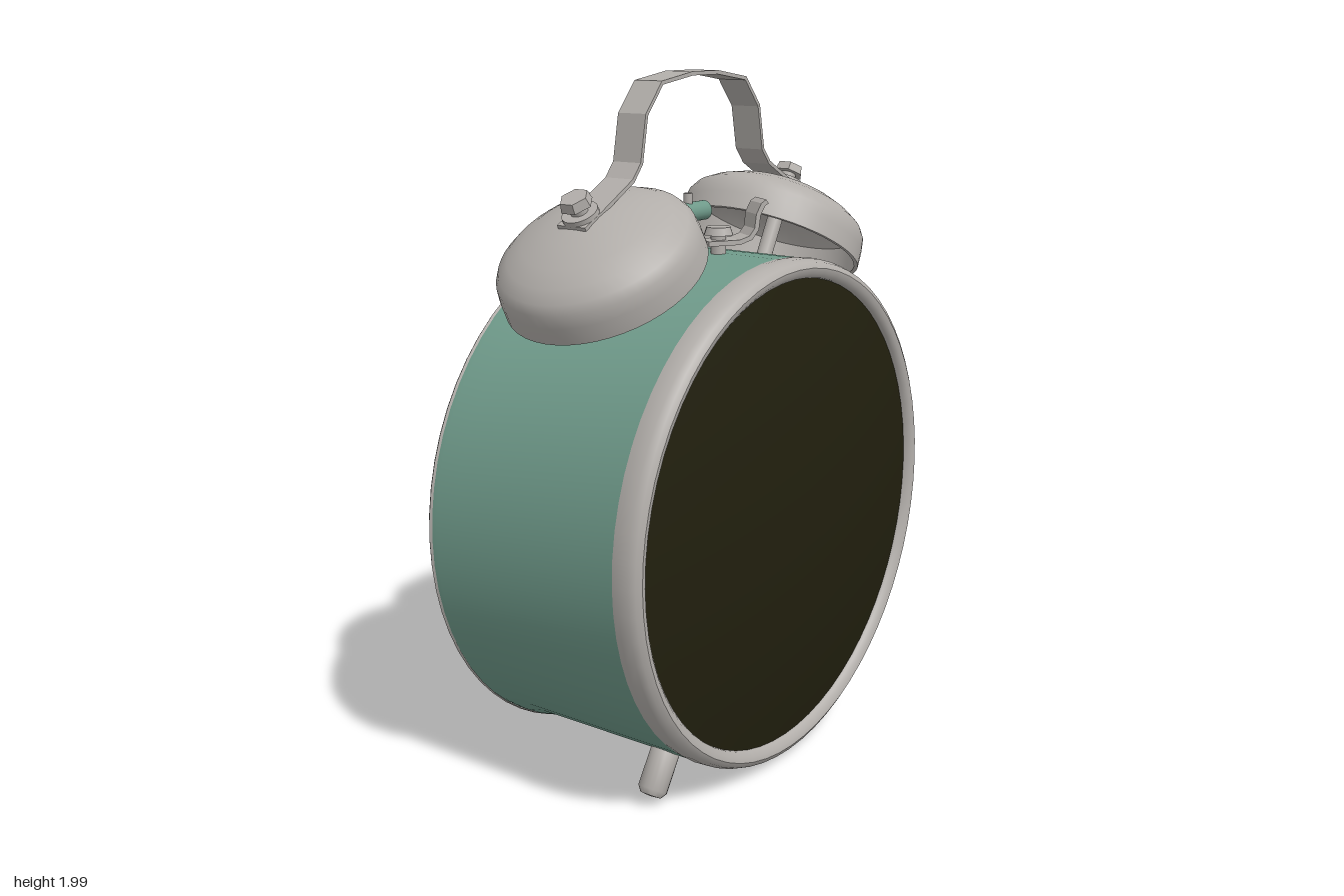
import * as THREE from 'three';
import { toCreasedNormals } from 'three/addons/utils/BufferGeometryUtils.js';

const CY = 0.76;      // height of the case centre
const BELL_Z = -0.035; // depth of bells, handle and hammer
const BACK_Z = -0.3;  // surface of the recessed back panel

const both = THREE.DoubleSide;
const teal = new THREE.MeshStandardMaterial({ color: 0x6f9a8a, side: both });
teal.name = 'teal enamel';
const metal = new THREE.MeshStandardMaterial({ color: 0xb2aeaa, side: both });
metal.name = 'grey metal';
const dark = new THREE.MeshStandardMaterial({ color: 0x211f0e, side: both });
dark.name = 'dark olive';

function add(parent, name, geometry, material, x = 0, y = 0, z = 0) {
  const mesh = new THREE.Mesh(geometry, material);
  mesh.name = name;
  mesh.position.set(x, y, z);
  parent.add(mesh);
  return mesh;
}

// Revolved profile of [radius, height] points, with crisp corners.
function turned(profile, segments = 64, crease = 0.7) {
  const points = profile.map(([r, h]) => new THREE.Vector2(r, h));
  return toCreasedNormals(new THREE.LatheGeometry(points, segments), crease);
}

// The same, with its axis pointing along z.
const turnedZ = (profile, segments, crease) => turned(profile, segments, crease).rotateX(Math.PI / 2);

const cylinder = (r, h, sides = 24, top = r) => new THREE.CylinderGeometry(top, r, h, sides);

// Bent strip: a path in the xy plane, thickened and given a width in z.
function strip(path, width, thickness) {
  const offset = path.map((p, i) => {
    const a = path[Math.max(i - 1, 0)], b = path[Math.min(i + 1, path.length - 1)];
    const dx = b[0] - a[0], dy = b[1] - a[1], l = Math.hypot(dx, dy);
    return [p[0] + dy / l * thickness, p[1] - dx / l * thickness];
  });
  const outline = [...path, ...offset.reverse()].map(([x, y]) => new THREE.Vector2(x, y));
  const geometry = new THREE.ExtrudeGeometry(new THREE.Shape(outline), { depth: width, bevelEnabled: false });
  return geometry.translate(0, 0, -width / 2);
}

function buildCase() {
  const group = new THREE.Group();
  group.name = 'case';
  group.position.y = CY;

  // Drum wall, flared at the open back
  add(group, 'drumWall', turnedZ([
    [0.715, -0.372], [0.75, -0.372], [0.75, -0.35], [0.738, -0.29], [0.735, 0.26],
    [0.7, 0.26], [0.7, -0.29], [0.715, -0.372]]), teal);
  add(group, 'backRim', turnedZ([
    [0.722, -0.37], [0.73, -0.38], [0.748, -0.38], [0.755, -0.372], [0.752, -0.364]]), metal);

  // Front bezel and domed glass
  add(group, 'bezel', turnedZ([
    [0.7, 0.25], [0.735, 0.25], [0.738, 0.27], [0.736, 0.3], [0.728, 0.32], [0.712, 0.33],
    [0.697, 0.327], [0.684, 0.315], [0.68, 0.29]]), metal);
  const dome = [];
  for (let i = 0; i <= 12; i++) {
    const r = 0.69 * (1 - i / 12);
    dome.push([r, 0.375 - 0.15 * r * r]);
  }
  add(group, 'glass', turnedZ(dome), dark);

  // Recessed back panel with a raised centre
  add(group, 'backPanel', turnedZ([
    [0, BACK_Z], [0.6, BACK_Z], [0.63, BACK_Z + 0.02], [0.702, BACK_Z + 0.02]], 64, 0.3), dark);

  // Two setting knobs
  for (const s of [-1, 1]) {
    add(group, 'settingKnob', turnedZ([
      [0, -0.385], [0.035, -0.382], [0.05, -0.37], [0.055, BACK_Z]], 24), dark, s * 0.25, 0.225);
  }

  // Battery cover: a raised frame, its ledge and latch
  const frame = new THREE.Shape([[-0.2, -0.32], [0.2, -0.32], [0.2, -0.13], [0.17, -0.11], [-0.17, -0.11], [-0.2, -0.13]]
    .map(([x, y]) => new THREE.Vector2(x, y)));
  frame.holes.push(new THREE.Path([[-0.185, -0.305], [-0.185, -0.13], [0.185, -0.13], [0.185, -0.305]]
    .map(([x, y]) => new THREE.Vector2(x, y))));
  add(group, 'batteryFrame', new THREE.ExtrudeGeometry(frame, { depth: 0.012, bevelEnabled: false }), dark, 0, 0, BACK_Z - 0.012);
  add(group, 'batteryLedge', new THREE.BoxGeometry(0.63, 0.055, 0.025), dark, 0, -0.43, BACK_Z - 0.01);
  add(group, 'batteryLatch', new THREE.BoxGeometry(0.16, 0.06, 0.035), dark, 0, -0.445, BACK_Z - 0.015);

  // Small bright pin and screws on the back
  for (const [x, y, r] of [[0, 0, 0.01], [0.55, 0.4, 0.018], [-0.06, -0.66, 0.018]]) {
    add(group, 'backScrew', cylinder(r, 0.03, 12).rotateX(Math.PI / 2), metal, x, y, BACK_Z - 0.005);
  }
  return group;
}

// Bell on its post, standing out radially from the case
function buildBell(side) {
  const group = new THREE.Group();
  group.name = side > 0 ? 'leftBell' : 'rightBell';
  group.position.set(0, CY, BELL_Z);
  group.rotation.z = -side * 0.505;
  const rim = 0.81;
  add(group, 'bellCup', turned([
    [0.274, 0], [0.286, 0], [0.284, 0.05], [0.279, 0.085], [0.264, 0.11], [0.23, 0.135],
    [0.18, 0.16], [0.11, 0.18], [0.05, 0.19], [0, 0.192]], 48), metal, 0, rim);
  add(group, 'bellLining', turned([
    [0, 0.182], [0.11, 0.17], [0.22, 0.127], [0.262, 0.09], [0.274, 0]], 48), metal, 0, rim);
  add(group, 'bellPost', cylinder(0.024, 0.28, 16), metal, 0, 0.855);
  add(group, 'bellWasher', cylinder(0.05, 0.014), metal, 0, rim + 0.205);
  add(group, 'boltNeck', cylinder(0.024, 0.05, 16), metal, 0, rim + 0.22);
  add(group, 'boltHead', toCreasedNormals(cylinder(0.046, 0.026, 6, 0.04), 0.5), metal, 0, rim + 0.245);
  return group;
}

// Strap handle bolted to both bells
function buildHandle() {
  const half = [[0.53, 1.62], [0.455, 1.658], [0.33, 1.727], [0.296, 1.767], [0.272, 1.894], [0.2, 1.977]];
  const path = [...half.map(([x, y]) => [-x, y]), [-0.06, 1.998], [0.06, 1.998], ...half.reverse()];
  return strip(path, 0.094, 0.011);
}

function buildHammer() {
  const group = new THREE.Group();
  group.name = 'hammer';
  group.position.set(-0.02, 0, BELL_Z);
  add(group, 'hammerRod', cylinder(0.013, 0.2, 12), metal, 0, 1.56);
  add(group, 'hammerHead', cylinder(0.028, 0.155, 20).rotateZ(Math.PI / 2), teal, 0, 1.605);
  add(group, 'hammerCollar', cylinder(0.022, 0.03, 16), metal, 0, 1.565);
  return group;
}

// Curled stop lever in front of the hammer
function buildLever() {
  const group = new THREE.Group();
  group.name = 'stopLever';
  group.position.set(-0.005, 0, 0.06);
  group.rotation.y = -0.55;
  add(group, 'leverPivot', cylinder(0.022, 0.1, 12), metal, 0, 1.515);
  add(group, 'leverCap', cylinder(0.044, 0.022, 8, 0.036), metal, 0, 1.56);
  add(group, 'leverBlade', strip([
    [-0.045, 1.535], [0.05, 1.535], [0.08, 1.545], [0.095, 1.565], [0.1, 1.605], [0.115, 1.635], [0.13, 1.645]],
  0.075, 0.014), metal);
  return group;
}

export function createModel() {
  const model = new THREE.Group();
  model.name = 'alarmClock';
  model.add(buildCase(), buildHammer(), buildLever());
  add(model, 'handle', buildHandle(), metal, 0, 0, BELL_Z);

  for (const side of [-1, 1]) {
    model.add(buildBell(side));
    // Stubby foot, splayed outwards
    const leg = new THREE.Group();
    leg.name = side > 0 ? 'leftFoot' : 'rightFoot';
    leg.position.set(0, CY, 0.16);
    leg.rotation.z = side * 0.575;
    add(leg, 'foot', turned([
      [0, -0.865], [0.03, -0.862], [0.042, -0.845], [0.042, -0.73], [0.03, -0.69]], 20), metal);
    model.add(leg);
  }
  return model;
}
